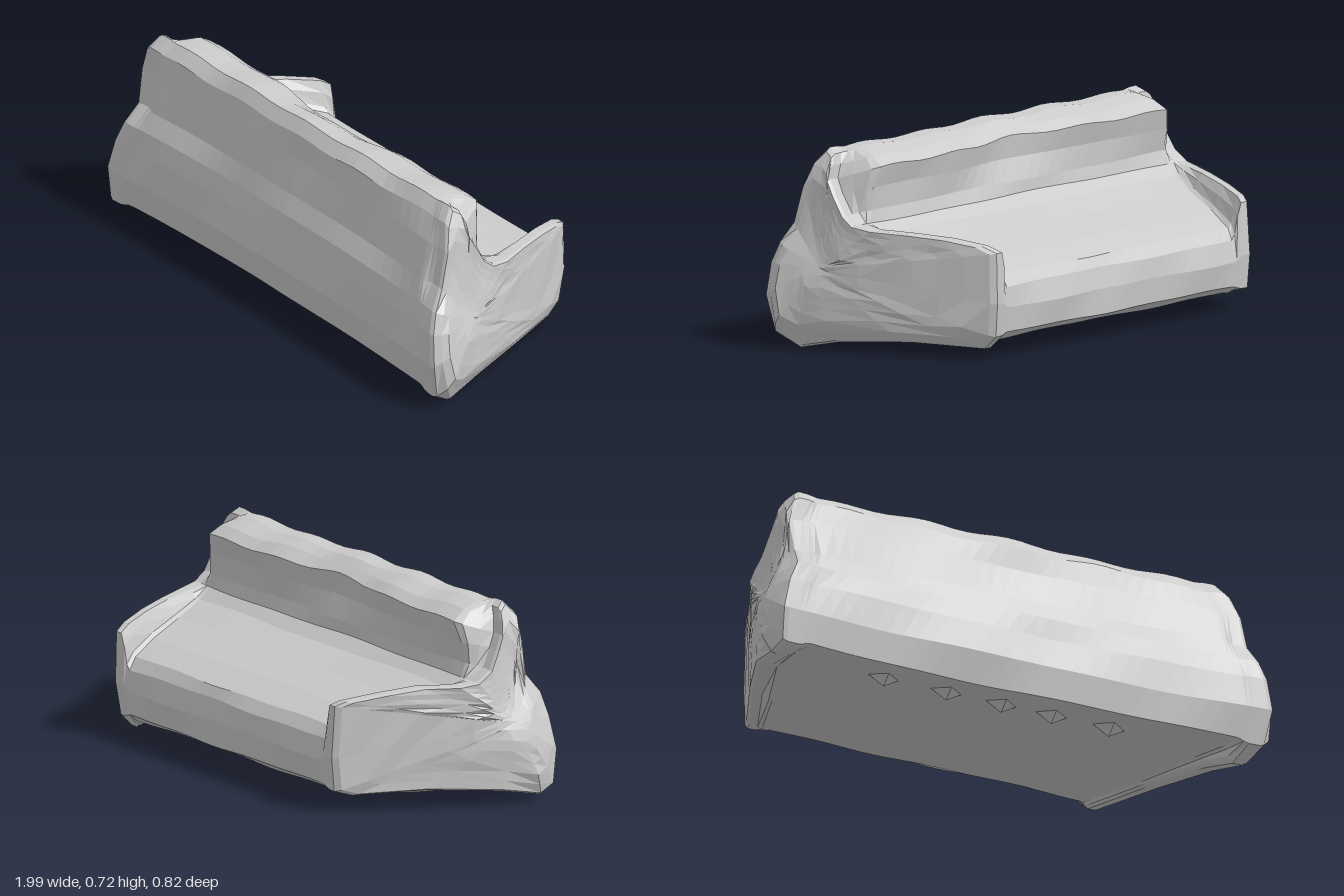
import * as THREE from 'three';

const { lerp, smoothstep, mapLinear } = THREE.MathUtils;

// Cross-sections as [z, y] pairs: through the seat, and through an armrest
const SEAT = [
  [.39, .065], [.41, .18], [.395, .30], [.38, .38], [.35, .45], [.30, .58], [.265, .67], [.23, .715],
  [.17, .71], [.10, .69], [.055, .66], [.07, .58], [.08, .50], [.07, .455], [.02, .42],
  [-.10, .38], [-.25, .338], [-.36, .295], [-.39, .255], [-.405, .18], [-.395, .09], [-.34, .06],
  [-.10, .06], [.15, .06], [.30, .06],
];
const ARM = [
  [.39, .05], [.41, .18], [.40, .30], [.38, .38], [.33, .45], [.295, .58], [.27, .67], [.23, .715],
  [.20, .695], [.19, .66], [.185, .61], [.16, .56], [.12, .49], [.07, .455], [.0, .445],
  [-.12, .44], [-.25, .425], [-.36, .405], [-.40, .385], [-.41, .20], [-.395, .08], [-.34, .035],
  [-.10, .045], [.15, .03], [.30, .0],
];

// Half widths as [z, x]: narrow at the open side, wide at the backrest
const LEFT = [[-.41, .67], [-.2, .775], [0, .865], [.1, .905], [.21, .94], [.35, .99], [.42, .96]];
const RIGHT = [[-.41, .715], [-.2, .81], [0, .905], [.08, .945], [.27, 1], [.36, .97], [.42, .95]];
function halfWidth(side, z, y) {
  const table = side > 0 ? LEFT : RIGHT;
  let i = 0;
  while (i < table.length - 2 && z > table[i + 1][0]) i++;
  const w = mapLinear(z, table[i][0], table[i + 1][0], table[i][1], table[i + 1][1]);
  return w - (side > 0 ? .075 : .115) * smoothstep(y, .2, .5) * smoothstep(z, .02, .33) // drawn in behind
    - .06 * smoothstep(y, .6, .74)                                  // rounded top corners
    - (side > 0 ? .05 : .01) * (1 - smoothstep(y, 0, .12));         // tucked in at the floor
}

// Gentle unevenness of the worn upholstery
const ripple = (a, b) => .003 * Math.sin(a * 5 + b * 2.1) + .002 * Math.sin(a * 11 - b * 1.7);

// Point j of the section at u (-1 to 1 along the length), scaled by s about the panel's middle
function sectionPoint(u, s, j) {
  const t = smoothstep(Math.abs(u), .88, .94);
  let z = lerp(SEAT[j][0], ARM[j][0], t), y = lerp(SEAT[j][1], ARM[j][1], t);
  // Rear face hollows towards the middle
  if (j < 6) z -= (.045 * (1 - u * u) + .03 * Math.max(0, -u)) * (j < 5 ? 1 : .5);
  // Overhanging front of the backrest recedes at the centre
  if (j > 8 && j < 12 && Math.abs(u) < .5) z += .02 * (1 + Math.cos(u * Math.PI * 2));
  // Top edge waves slightly
  if (j > 5 && j < 11) y -= .01 * Math.sin(u * 8) ** 2 * (1 - t);
  // The right end sits a little higher
  if (y < .05 && u < 0) y += .025 * t;
  z = lerp(.2, z, s);
  y = lerp(.3, y, s);
  const r = ripple(u, j);
  const crumple = t * .005 * Math.sin(z * 31 + u) * Math.cos(y * 27);
  return [u * halfWidth(u, z, y) + crumple, y + r * .5, z + r];
}

function sofaGeometry() {
  // Stations along the length; the end panels close as nested rings
  const end = [[.895, 1], [.915, 1], [.94, 1], [.985, 1],
    [1, .97], [1, .84], [1, .7], [1, .55], [1, .4], [1, .25], [1, .1], [1, 0]];
  const stations = end.map(([u, s]) => [-u, s]).reverse();
  for (let i = 0; i <= 28; i++) stations.push([-.875 + 1.75 * i / 28, 1]);
  stations.push(...end);

  const n = SEAT.length, pos = [], idx = [];
  stations.forEach(([u, s]) => {
    for (let j = 0; j < n; j++) pos.push(...sectionPoint(u, s, j));
  });
  for (let i = 0; i < stations.length - 1; i++) {
    for (let j = 0; j < n; j++) {
      const a = i * n + j, b = i * n + (j + 1) % n;
      idx.push(a, a + n, b + n, a, b + n, b);
    }
  }
  const g = new THREE.BufferGeometry();
  g.setAttribute('position', new THREE.Float32BufferAttribute(pos, 3));
  g.setIndex(idx);
  g.computeVertexNormals();
  return g;
}

export function createModel() {
  const group = new THREE.Group();
  group.name = 'sofa';
  const material = new THREE.MeshStandardMaterial({ color: 0xcccccc, flatShading: true });

  const body = new THREE.Mesh(sofaGeometry(), material);
  body.name = 'upholsteredBody';
  group.add(body);

  // Small stubs in a row beneath the backrest
  const stub = new THREE.ConeGeometry(.07, .04, 4);
  stub.rotateX(Math.PI);
  [-.5, -.25, -.03, .17, .4].forEach(x => {
    const m = new THREE.Mesh(stub, material);
    m.name = 'undersideStub';
    m.scale.z = .7;
    m.position.set(x, .045, .24);
    group.add(m);
  });
  return group;
}
